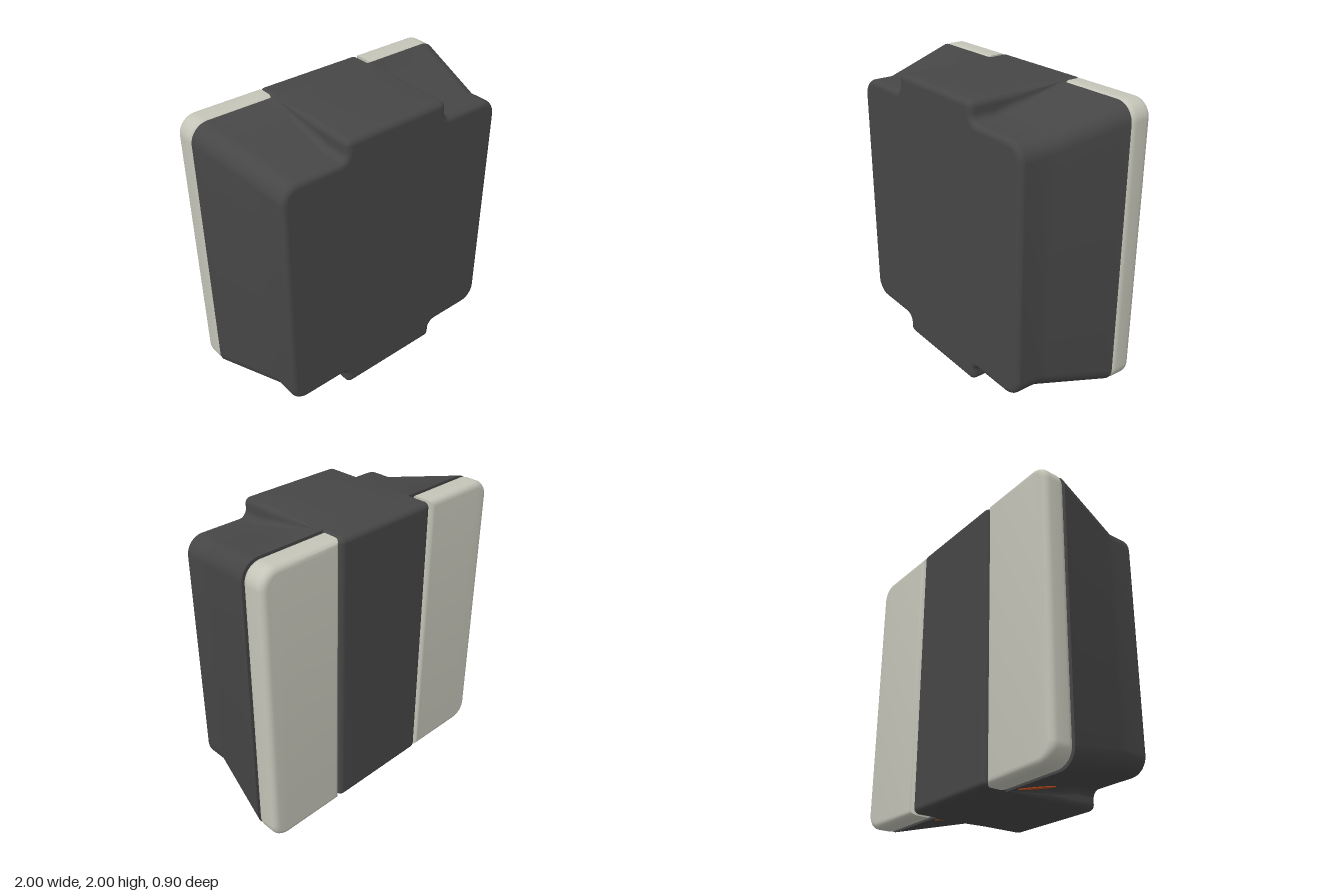
import * as THREE from 'three';
import { toCreasedNormals } from 'three/addons/utils/BufferGeometryUtils.js';
import { RoundedBoxGeometry } from 'three/addons/geometries/RoundedBoxGeometry.js';

const BACK = -0.28, FRONT = 0.45, EDGE = 0.04, TAB = 0.4;

// Rounded square of half-size h with a central tab reaching +-1 at top and bottom,
// drawn clockwise about the origin and shrunk by inset
function outline(h, inset) {
  const gap = 1 - h, r1 = Math.min(0.045, gap / 2), r2 = Math.min(0.05, gap / 2), rc = 0.125;
  const q = [];
  const arc = (cx, cy, r, from, to, n) => {
    for (let i = 0; i <= n; i++) {
      const a = THREE.MathUtils.degToRad(from + (to - from) * i / n);
      q.push(new THREE.Vector2(cx + r * Math.cos(a), cy + r * Math.sin(a)));
    }
  };
  arc(TAB - r1, 1 - r1, Math.max(r1 - inset, 0), 90, 0, 6);
  arc(TAB + r2, h + r2, r2 + inset, 180, 270, 6);
  arc(h - rc, h - rc, rc - inset, 90, 0, 8);
  const flip = (sx, sy) => q.map(p => new THREE.Vector2(p.x * sx, p.y * sy));
  return [...q, ...flip(1, -1).reverse(), ...flip(-1, -1), ...flip(-1, 1).reverse()];
}

// Side wall joining the outlines from back to front
function loft(sections) {
  const pos = [], index = [], n = outline(0.9, 0).length;
  sections.forEach(([z, h, inset], k) => {
    outline(h, inset).forEach(p => pos.push(p.x, p.y, z));
    if (k === 0) return;
    for (let j = 0; j < n; j++) {
      const a = (k - 1) * n + j, b = (k - 1) * n + (j + 1) % n;
      index.push(a, a + n, b, b, a + n, b + n);
    }
  });
  const g = new THREE.BufferGeometry();
  g.setAttribute('position', new THREE.Float32BufferAttribute(pos, 3));
  g.setIndex(index);
  return toCreasedNormals(g, 0.6);
}

// Terminal plate with rounded outer corners and softened edges
function terminalGeometry() {
  const r = 0.125, b = 0.045, x0 = TAB, x1 = 1;
  const s = new THREE.Shape();
  s.moveTo(x0 + b, -1 + b);
  s.lineTo(x1 - r, -1 + b);
  s.absarc(x1 - r, -1 + r, r - b, -Math.PI / 2, 0, false);
  s.lineTo(x1 - b, 1 - r);
  s.absarc(x1 - r, 1 - r, r - b, 0, Math.PI / 2, false);
  s.lineTo(x0 + b, 1 - b);
  s.closePath();
  const g = new THREE.ExtrudeGeometry(s, {
    depth: 0.17 - 2 * b, bevelEnabled: true, bevelSize: b, bevelThickness: b,
    bevelSegments: 6, curveSegments: 8,
  });
  g.translate(0, 0, -0.45 + b);
  return toCreasedNormals(g, 0.6);
}

export function createModel() {
  const charcoal = new THREE.MeshStandardMaterial({ name: 'charcoal', color: 0x464646 });
  const tin = new THREE.MeshStandardMaterial({ name: 'tin', color: 0xc4c4b8 });
  const copper = new THREE.MeshStandardMaterial({ name: 'copper', color: 0xc0501e });

  const model = new THREE.Group();
  model.name = 'surfaceMountInductor';
  const add = (parent, name, geometry, material) => {
    const m = new THREE.Mesh(geometry, material);
    m.name = name;
    parent.add(m);
    return m;
  };

  // Moulded body: tapered, then straight, then a rounded front edge
  const body = new THREE.Group();
  body.name = 'body';
  model.add(body);
  const hFront = 0.872, sections = [];
  for (let i = 0; i <= 8; i++) sections.push([BACK + 0.55 * i / 8, 0.999 + (hFront - 0.999) * i / 8, 0]);
  for (let i = 0; i <= 6; i++) {
    const a = Math.PI / 2 * i / 6;
    sections.push([FRONT - EDGE + EDGE * Math.sin(a), hFront, EDGE * (1 - Math.cos(a))]);
  }
  add(body, 'bodyWall', loft(sections), charcoal);
  add(body, 'bodyFront', new THREE.ShapeGeometry(new THREE.Shape(outline(hFront, EDGE))), charcoal).position.z = FRONT;
  const back = add(body, 'bodyBack', new THREE.ShapeGeometry(new THREE.Shape(outline(0.999, 0))), charcoal);
  back.position.z = BACK;
  back.rotation.y = Math.PI;

  // Central strip between the terminals
  add(body, 'backStrip', new RoundedBoxGeometry(2 * TAB, 2, 0.3, 5, 0.04), charcoal).position.z = -0.3;

  // Terminals and the wire ends showing on the lower slope
  const slope = Math.atan2(0.127, 0.55);
  for (const side of [1, -1]) {
    const name = side > 0 ? 'left' : 'right';
    const t = add(model, name + 'Terminal', terminalGeometry(), tin);
    if (side < 0) t.rotation.z = Math.PI;

    const w = add(model, name + 'WireEnd', new THREE.CylinderGeometry(1, 1, 0.008, 32), copper);
    w.scale.set(0.03, 1, 0.145);
    w.rotation.set(-slope, side * 0.05, 0);
    w.position.set(side * 0.458, -0.957, -0.095);
  }

  model.children.forEach(c => { c.position.y += 1; });
  return model;
}
